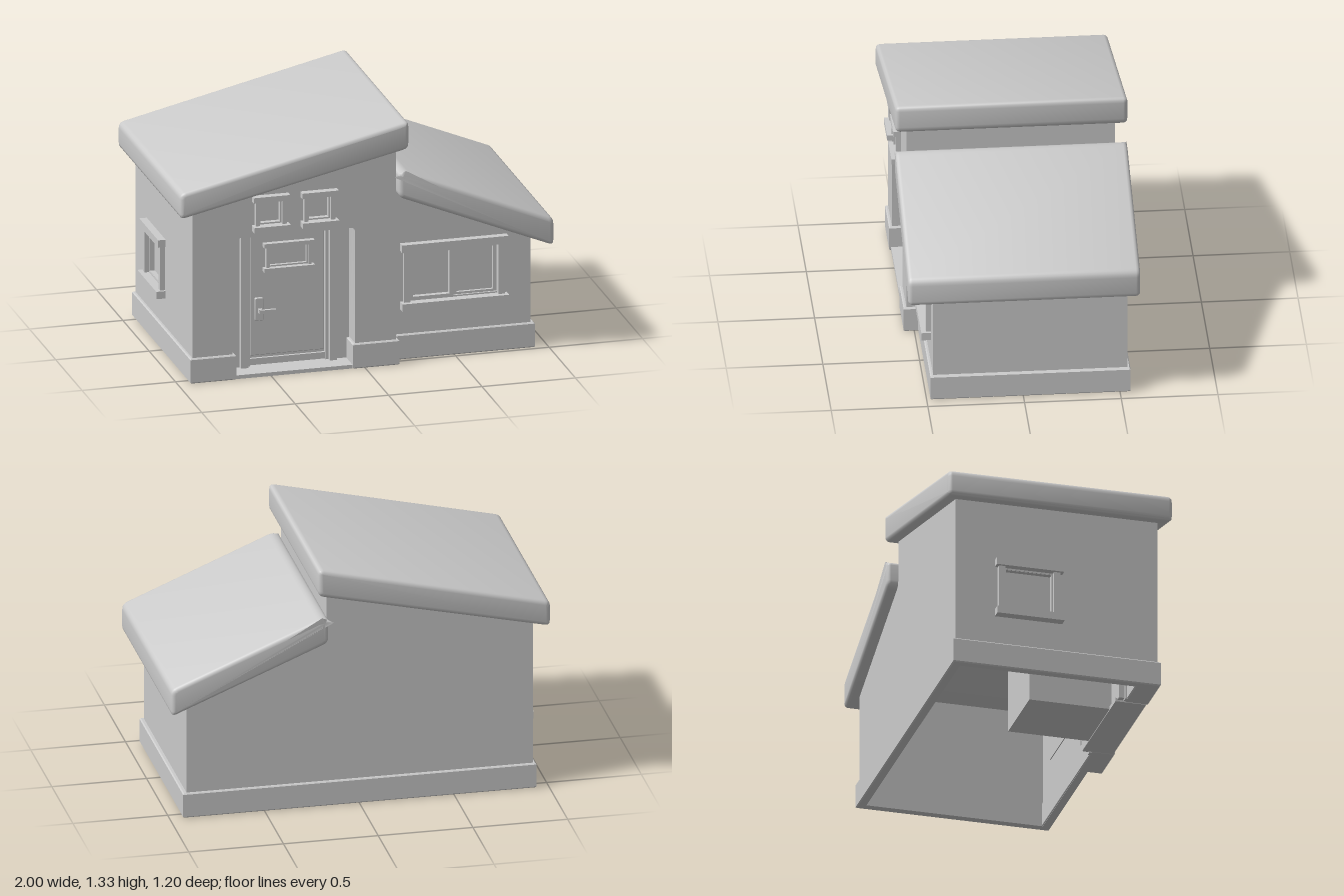
import * as THREE from 'three';
import { toCreasedNormals } from 'three/addons/utils/BufferGeometryUtils.js';

const grey = new THREE.MeshStandardMaterial({ color: 0xcccccc });

function add(parent, name, geometry) {
  const mesh = new THREE.Mesh(geometry, grey);
  mesh.name = name;
  parent.add(mesh);
  return mesh;
}

// Box given by its minimum and maximum on each axis
function box(parent, name, x0, x1, y0, y1, z0, z1) {
  const g = new THREE.BoxGeometry(x1 - x0, y1 - y0, z1 - z0);
  g.translate((x0 + x1) / 2, (y0 + y1) / 2, (z0 + z1) / 2);
  return add(parent, name, g);
}

// Polygon from [x, y, optional corner radius]
function outline(points, Type = THREE.Shape) {
  const shape = new Type();
  const n = points.length;
  points.forEach(([x, y, r = 0], i) => {
    const c = new THREE.Vector2(x, y);
    const toward = (p) => c.clone().add(new THREE.Vector2(p[0], p[1]).sub(c).setLength(r));
    const a = r ? toward(points[(i + n - 1) % n]) : c;
    if (i === 0) shape.moveTo(a.x, a.y);
    else shape.lineTo(a.x, a.y);
    if (r) {
      const b = toward(points[(i + 1) % n]);
      shape.quadraticCurveTo(x, y, b.x, b.y);
    }
  });
  shape.closePath();
  return shape;
}

const rect = (x0, x1, y0, y1) => [[x0, y0], [x1, y0], [x1, y1], [x0, y1]];

// Outline with holes, extruded from z0 to z1; the bevel stays inside the outline
function slab(points, z0, z1, bevel = 0, holes = []) {
  const shape = outline(points);
  shape.holes = holes.map((h) => outline(h, THREE.Path));
  const g = new THREE.ExtrudeGeometry(shape, {
    depth: z1 - z0 - 2 * bevel, curveSegments: 4, bevelEnabled: bevel > 0,
    bevelThickness: bevel, bevelSize: bevel, bevelOffset: -bevel, bevelSegments: bevel > 0.01 ? 3 : 1,
  });
  g.translate(0, 0, z0 + bevel);
  return toCreasedNormals(g, 0.7);
}

// Window on a wall at z = 0, centred: casing, rails, sashes and recessed panes
function windowUnit(name, w, h, rail, casing, panes) {
  const g = new THREE.Group();
  g.name = name;
  const iw = w / 2 - 0.015, ih = h / 2 - rail;
  const ow = iw - casing;
  add(g, 'casing', slab(rect(-iw, iw, -ih - 0.01, ih + 0.01), -0.03, 0.025, 0, [rect(-ow, ow, -ih, ih)]));
  for (const s of [-1, 1]) {
    const y = s * (h / 2 - rail / 2);
    box(g, s > 0 ? 'topRail' : 'sill', -w / 2, w / 2, y - rail / 2, y + rail / 2, -0.01, s > 0 ? 0.04 : 0.05);
  }
  const pw = 2 * ow / panes;
  for (let i = 0; i < panes; i++) {
    const x = -ow + i * pw;
    const m = panes > 1 ? 0.02 : 0.008;
    const z = i % 2 ? -0.01 : 0.002;
    add(g, 'sash', slab(rect(x, x + pw, -ih, ih), -0.03, z, 0,
      [rect(x + m, x + pw - m, -ih + m, ih - m)]));
  }
  box(g, 'glass', -ow, ow, -ih, ih, -0.035, -0.026);
  return g;
}

export function createModel() {
  const house = new THREE.Group();
  house.name = 'house';

  // Walls
  const walls = new THREE.Group();
  walls.name = 'walls';
  house.add(walls);
  const upper = [[-0.505, 0.895], [-0.245, 0.895]];
  const upperHoles = upper.map(([x, y]) => rect(x - 0.075, x + 0.075, y - 0.07, y + 0.07));
  add(walls, 'tallFrontWall', slab([[-0.92, 0], [-0.705, 0], [-0.705, 0.765, 0.02], [-0.05, 0.765, 0.02],
    [-0.05, 0], [0.17, 0], [0.17, 1.2], [-0.92, 0.95]], 0.51, 0.54, 0, upperHoles));
  add(walls, 'lowFrontWall', slab([[0.17, 0], [0.91, 0], [0.91, 0.65], [0.17, 0.96]], 0.435, 0.465, 0,
    [rect(0.25, 0.745, 0.32, 0.59)]));
  add(walls, 'backWall', slab([[-0.92, 0], [0.91, 0], [0.91, 0.65], [0.17, 0.96], [0.17, 1.2], [-0.92, 0.95]],
    -0.54, -0.51));
  box(walls, 'lowSideWall', 0.88, 0.91, 0, 0.645, -0.53, 0.455);
  box(walls, 'upperStepWall', 0.14, 0.17, 0.9, 1.195, -0.53, 0.53);
  box(walls, 'frontStepWall', 0.14, 0.17, 0, 1.0, 0.44, 0.53);
  const side = add(walls, 'tallSideWall', slab(rect(-0.53, 0.53, 0, 0.945), -0.03, 0, 0,
    [rect(-0.29, -0.01, 0.34, 0.56)]));
  side.rotation.y = -Math.PI / 2;
  side.position.x = -0.92;

  // Plinth: plan outline running from one door jamb round to the other
  const plinth = add(house, 'plinth', slab([[-0.69, 0.555], [-0.935, 0.555], [-0.935, -0.555], [0.93, -0.555],
    [0.93, 0.48], [0.185, 0.48], [0.185, 0.555], [-0.065, 0.555], [-0.065, 0.43], [0.885, 0.43],
    [0.885, -0.51], [-0.89, -0.51], [-0.89, 0.43], [-0.69, 0.43]].map(([x, z]) => [x, -z]), 0, 0.135, 0.006));
  plinth.rotation.x = -Math.PI / 2;

  // Roofs
  const r = 0.03;
  add(house, 'tallRoof', slab([[-1, 0.912, r], [0.224, 1.187, r], [0.224, 1.338, r], [-1, 1.052, r]],
    -0.6, 0.6, 0.022));
  add(house, 'lowRoof', slab([[0.17, 0.925, r], [1, 0.585, r], [1, 0.735, r], [0.2, 1.065, r], [0.17, 1.05, 0.01]],
    -0.6, 0.6, 0.022));

  // Entrance recess
  const entrance = new THREE.Group();
  entrance.name = 'entrance';
  house.add(entrance);
  add(entrance, 'reveal', slab([[-0.735, 0], [-0.705, 0], [-0.705, 0.765, 0.02], [-0.05, 0.765, 0.02],
    [-0.05, 0], [-0.02, 0], [-0.02, 0.795], [-0.735, 0.795]], 0.42, 0.515));
  add(entrance, 'surround', slab([[-0.72, 0.01], [-0.58, 0.01], [-0.58, 0.75], [-0.175, 0.75], [-0.175, 0.01],
    [-0.035, 0.01], [-0.035, 0.78], [-0.72, 0.78]], 0.39, 0.425));
  for (const s of [-1, 1]) {
    const x = -0.3775 + s * 0.2375;
    box(entrance, 'doorPost', x - 0.02, x + 0.02, 0.02, 0.76, 0.41, 0.45);
  }
  box(entrance, 'step', -0.69, -0.065, 0, 0.02, 0.38, 0.545);

  // Door with lobby box behind it
  box(entrance, 'lobby', -0.58, -0.175, 0.005, 0.75, -0.05, 0.395);
  add(entrance, 'door', slab(rect(-0.575, -0.18, 0.07, 0.742), 0.38, 0.405, 0.003));
  box(entrance, 'threshold', -0.58, -0.175, 0.02, 0.055, 0.38, 0.41);
  const doorWindow = windowUnit('doorWindow', 0.27, 0.155, 0.022, 0.015, 1);
  doorWindow.scale.z = 0.6;
  doorWindow.position.set(-0.375, 0.608, 0.424);
  entrance.add(doorWindow);
  add(entrance, 'handlePlate', slab([[-0.55, 0.26, 0.008], [-0.505, 0.26, 0.008], [-0.505, 0.385, 0.008],
    [-0.55, 0.385, 0.008]], 0.4, 0.417, 0.003));
  box(entrance, 'handleStem', -0.535, -0.515, 0.305, 0.328, 0.41, 0.44);
  box(entrance, 'handleLever', -0.535, -0.445, 0.307, 0.326, 0.432, 0.447);

  // Windows
  for (const [x, y] of upper) {
    const win = windowUnit('upperWindow', 0.195, 0.19, 0.03, 0.022, 1);
    win.position.set(x, y, 0.54);
    house.add(win);
  }
  const front = windowUnit('frontWindow', 0.57, 0.36, 0.042, 0.035, 2);
  front.position.set(0.497, 0.45, 0.465);
  house.add(front);
  const sideWindow = windowUnit('sideWindow', 0.36, 0.32, 0.04, 0.035, 1);
  sideWindow.rotation.y = -Math.PI / 2;
  sideWindow.position.set(-0.92, 0.45, -0.15);
  house.add(sideWindow);

  return house;
}
